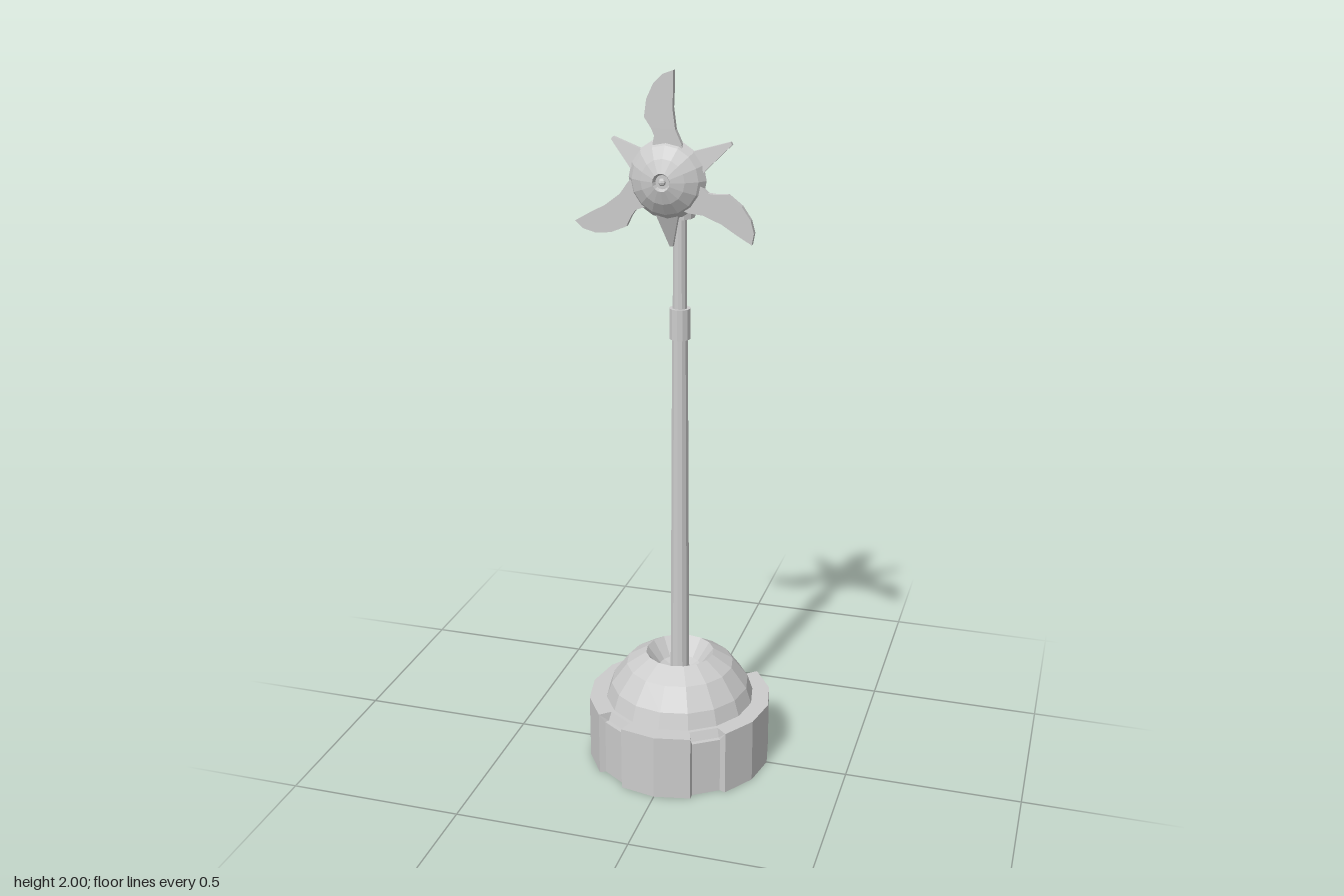
import * as THREE from 'three';

const mat = new THREE.MeshStandardMaterial({ color: 0xcccccc, flatShading: true, side: THREE.DoubleSide });
const V = (x, y, z) => new THREE.Vector3(x, y, z);
const pts = (list) => list.map(([x, y]) => new THREE.Vector2(x, y));

function add(parent, name, geometry) {
  const mesh = new THREE.Mesh(geometry, mat);
  mesh.name = name;
  parent.add(mesh);
  return mesh;
}

// Hollow 16-sided skirt with four recessed panels cut into its rim
function skirtGeometry() {
  const N = 16, R = 0.265, r = 0.215, H = 0.19, ledge = 0.165;
  const pos = [];
  const poly = (...c) => {
    for (let i = 1; i < c.length - 1; i++) [c[0], c[i], c[i + 1]].forEach((p) => pos.push(p.x, p.y, p.z));
  };
  const at = (i, rad, y) => {
    const a = (i / N) * Math.PI * 2;
    return V(rad * Math.cos(a), y, -rad * Math.sin(a));
  };
  for (let i = 0; i < N; i++) {
    const A = at(i, R, 0), B = at(i + 1, R, 0);
    const A1 = at(i, R, H), B1 = at(i + 1, R, H);
    const a1 = at(i, r, H), b1 = at(i + 1, r, H);
    if (![2, 5, 10, 13].includes(i)) {
      poly(A, B, B1, A1);
      poly(A1, B1, b1, a1);
      continue;
    }
    const inward = at(i + 0.5, -1, 0);
    const P = (t, d, y) => A.clone().lerp(B, t).addScaledVector(inward, d).setY(y);
    const [s, e] = [0.1, 0.9];
    const side = (t) => [P(t, 0.015, 0), P(t, 0.015, ledge), P(t, 0.028, ledge), P(t, 0.038, H)];
    const L = side(s), M = side(e);
    for (let k = 0; k < 3; k++) poly(L[k], M[k], M[k + 1], L[k + 1]);
    poly(A1, ...L.slice().reverse(), A);
    poly(B1, B, ...M);
    poly(A1, L[3], a1);
    poly(L[3], M[3], b1, a1);
    poly(M[3], B1, b1);
  }
  const g = new THREE.BufferGeometry();
  g.setAttribute('position', new THREE.Float32BufferAttribute(pos, 3));
  g.computeVertexNormals();
  return g;
}

export function createModel() {
  const model = new THREE.Group();
  model.name = 'windTurbine';

  // Base
  const base = new THREE.Group();
  base.name = 'base';
  model.add(base);
  add(base, 'skirt', skirtGeometry());
  add(base, 'dome', new THREE.LatheGeometry(pts([
    [0.215, 0.19], [0.2, 0.235], [0.155, 0.295], [0.098, 0.33], [0.06, 0.28], [0.02, 0.265],
  ]), 16));

  // Mast: tapering lower pole, collar, thin upper pole
  const mast = new THREE.Group();
  mast.name = 'mast';
  model.add(mast);
  const tube = (name, r0, r1, y0, y1) => {
    add(mast, name, new THREE.CylinderGeometry(r1, r0, y1 - y0, 12)).position.y = (y0 + y1) / 2;
  };
  tube('lowerPole', 0.028, 0.022, 0.26, 1.28);
  tube('collar', 0.029, 0.029, 1.275, 1.36);
  tube('upperPole', 0.02, 0.019, 1.35, 1.65);

  // Bent neck joining the mast to the rotor, with a cap on its lower end
  const neckPath = new THREE.CatmullRomCurve3([
    V(0, 1.607, -0.005), V(0, 1.66, -0.002), V(0, 1.706, 0.022), V(0, 1.727, 0.062), V(0, 1.728, 0.11),
  ]);
  add(model, 'neck', new THREE.TubeGeometry(neckPath, 7, 0.04, 12));
  const cap = add(model, 'neckCap', new THREE.CircleGeometry(0.04, 12));
  cap.position.copy(neckPath.getPoint(0));
  cap.lookAt(neckPath.getPoint(0).sub(neckPath.getTangent(0)));

  // Rotor
  const rotor = new THREE.Group();
  rotor.name = 'rotor';
  rotor.position.y = 1.728;
  model.add(rotor);
  add(rotor, 'hub', new THREE.LatheGeometry(pts([
    [0, 0.107], [0.098, 0.107], [0.103, 0.113], [0.088, 0.136], [0.058, 0.157],
    [0.023, 0.17], [0.018, 0.158], [0, 0.158],
  ]), 16).rotateX(Math.PI / 2));
  add(rotor, 'hubPin', new THREE.SphereGeometry(0.01, 8, 6)).position.z = 0.16;

  const bladeShape = new THREE.Shape(pts([
    [0.045, 0.06], [0.042, 0.09], [0.025, 0.127], [0.018, 0.18], [0.02, 0.225], [0.02, 0.272],
    [-0.008, 0.262], [-0.032, 0.238], [-0.05, 0.2], [-0.056, 0.155], [-0.038, 0.128],
    [-0.03, 0.11], [-0.04, 0.06],
  ]));
  const bladeGeo = new THREE.ExtrudeGeometry(bladeShape, { depth: 0.016, bevelEnabled: false });
  bladeGeo.translate(0, 0, 0.113);

  // Swept-back spikes: flat tapering wedges sheared towards the mast
  const spikeShape = new THREE.Shape(pts([[-0.036, 0.07], [0.036, 0.07], [0.004, 0.182], [-0.004, 0.182]]));
  const spikeGeo = new THREE.ExtrudeGeometry(spikeShape, { depth: 0.014, bevelEnabled: false });
  const p = spikeGeo.attributes.position;
  for (let i = 0; i < p.count; i++) p.setZ(i, p.getZ(i) + 0.115 - (p.getY(i) - 0.07) * 0.42);

  for (let i = 0; i < 3; i++) {
    const turn = (i * Math.PI * 2) / 3;
    add(rotor, 'blade', bladeGeo).rotation.z = turn;
    add(rotor, 'spike', spikeGeo).rotation.z = turn + Math.PI;
  }
  return model;
}
